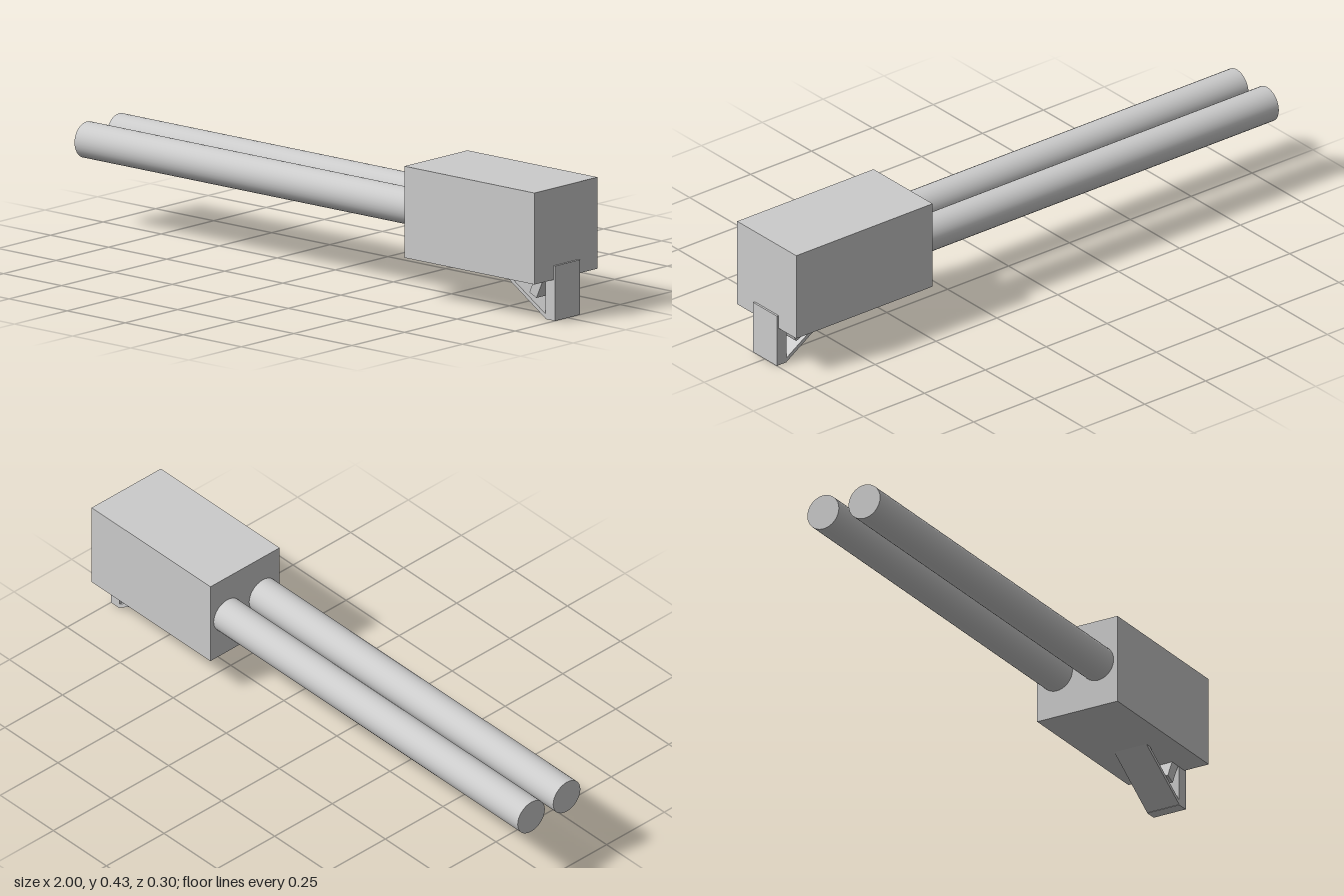
import * as THREE from 'three';

const material = new THREE.MeshStandardMaterial({ color: 0xcccccc });

export function createModel() {
  const group = new THREE.Group();

  const add = (name, geometry, x, y, z) => {
    const mesh = new THREE.Mesh(geometry, material);
    mesh.name = name;
    mesh.position.set(x, y, z);
    group.add(mesh);
    return mesh;
  };

  // Side outline in x and y, extruded symmetrically across z
  const slab = (name, points, width) => {
    const shape = new THREE.Shape(points.map(([x, y]) => new THREE.Vector2(x, y)));
    const geometry = new THREE.ExtrudeGeometry(shape, { depth: width, bevelEnabled: false });
    return add(name, geometry, 0, 0, -width / 2);
  };

  // Receiver block
  add('body', new THREE.BoxGeometry(0.56, 0.3, 0.3), 0.713, 0.284, 0);

  // Twin barrels, ending just inside the body
  for (const [name, side] of [['frontBarrel', 1], ['backBarrel', -1]]) {
    const geometry = new THREE.CylinderGeometry(0.059, 0.059, 1.44, 32);
    geometry.rotateZ(Math.PI / 2);
    add(name, geometry, -0.28, 0.284, side * 0.077);
  }

  // Upright grip plate at the rear end
  add('grip', new THREE.BoxGeometry(0.04, 0.18, 0.12), 0.98, 0.09, 0);

  // Thin sloping guard from the body to the foot of the grip
  slab('triggerGuard', [[0.757, 0.135], [0.962, 0], [0.962, 0.015], [0.778, 0.135]], 0.12);

  // Tilted trigger
  slab('trigger', [[0.89, 0.077], [0.92, 0.063], [0.956, 0.142], [0.926, 0.156]], 0.12);

  return group;
}
